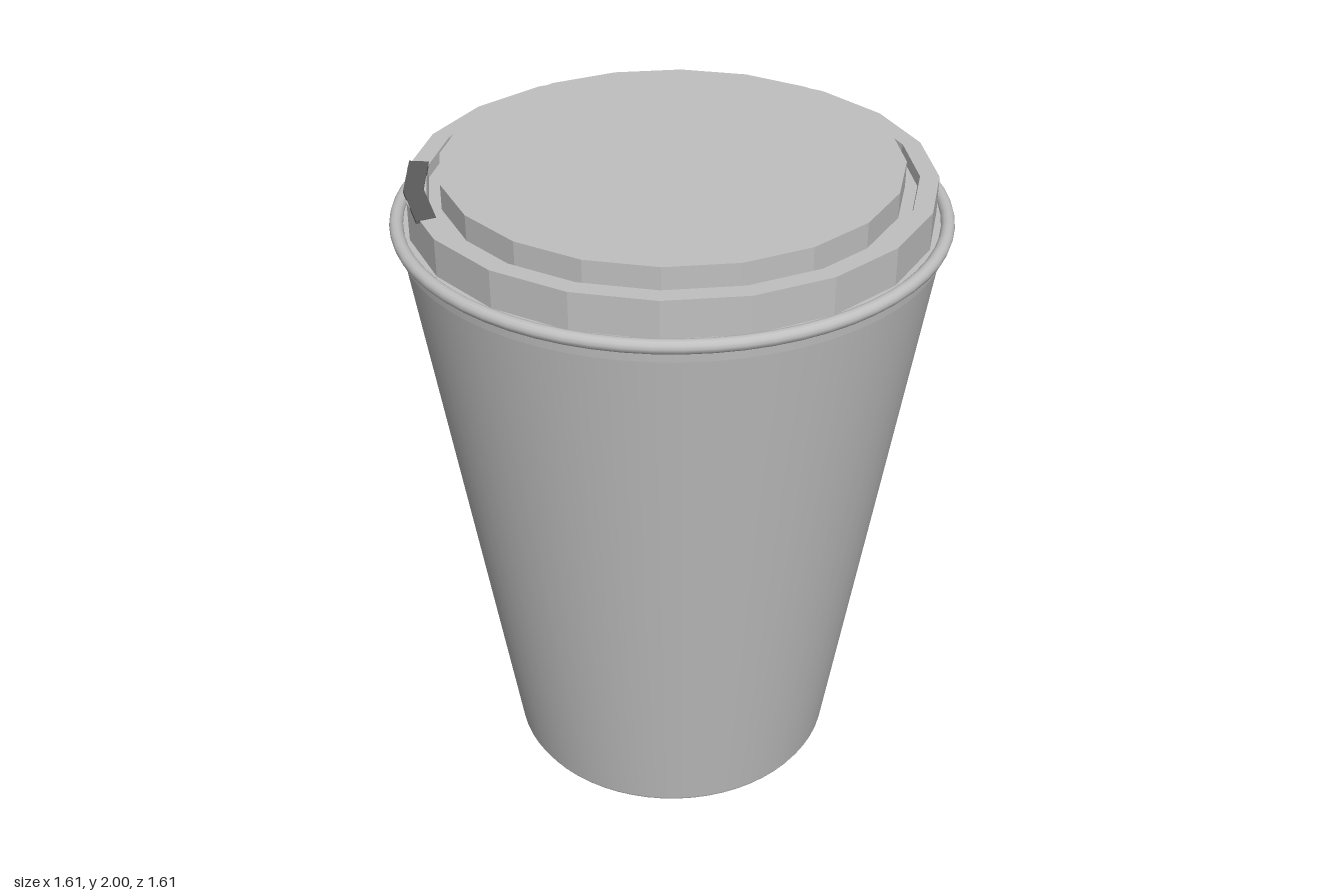
import * as THREE from 'three';

const paper = new THREE.MeshStandardMaterial({ color: 0xc0c0c0 });
paper.name = 'light grey';
const dark = new THREE.MeshStandardMaterial({ color: 0x5c5c5c });
dark.name = 'dark grey';

// Surface of revolution; flat gives a faceted look
function turned(name, profile, segments, flat = false) {
  let geo = new THREE.LatheGeometry(profile.map(([r, y]) => new THREE.Vector2(r, y)), segments);
  if (flat) {
    geo = geo.toNonIndexed();
    geo.computeVertexNormals();
  }
  const mesh = new THREE.Mesh(geo, paper);
  mesh.name = name;
  return mesh;
}

export function createModel() {
  const model = new THREE.Group();
  model.name = 'lidded cup';

  // Tapered cup body with a recessed base
  const cup = new THREE.Group();
  cup.name = 'cup';
  cup.add(
    turned('cupWall', [[0.505, 0], [0.512, 0.012], [0.777, 1.8]], 64),
    turned('footRing', [[0.46, 0], [0.505, 0]], 64),
    turned('recessWall', [[0.452, 0.03], [0.46, 0]], 64),
    turned('cupBase', [[0, 0.03], [0.452, 0.03]], 64)
  );
  model.add(cup);

  const lid = new THREE.Group();
  lid.name = 'lid';

  // Short collar and rolled bead around the mouth
  lid.add(
    turned('collarUnderside', [[0.77, 1.797], [0.786, 1.797]], 64),
    turned('collar', [[0.786, 1.797], [0.789, 1.835]], 64)
  );
  const bead = new THREE.Mesh(new THREE.TorusGeometry(0.785, 0.02, 12, 64), paper);
  bead.name = 'rolledBead';
  bead.rotation.x = Math.PI / 2;
  bead.position.y = 1.843;
  lid.add(bead);
  lid.add(turned('beadShelf', [[0.785, 1.845], [0.74, 1.845]], 64));

  // Faceted raised rim, groove and top disc
  lid.add(turned('lidTop', [
    [0.755, 1.845], [0.755, 1.956], [0.7, 1.956], [0.695, 1.925],
    [0.66, 1.925], [0.66, 2], [0, 2]
  ], 20, true));

  // Drinking slot: thin two-segment arc set on the rim
  const arcPoint = (r, deg) => {
    const a = THREE.MathUtils.degToRad(deg);
    return new THREE.Vector2(-r * Math.cos(a), -r * Math.sin(a));
  };
  const angles = [15, 30, 45];
  const outline = [
    ...angles.map(d => arcPoint(0.757, d)),
    ...angles.slice().reverse().map(d => arcPoint(0.7, d))
  ];
  const slotGeo = new THREE.ExtrudeGeometry(new THREE.Shape(outline), { depth: 0.009, bevelEnabled: false });
  slotGeo.rotateX(-Math.PI / 2);
  const slot = new THREE.Mesh(slotGeo, dark);
  slot.name = 'drinkingSlot';
  slot.position.y = 1.949;
  lid.add(slot);

  model.add(lid);
  return model;
}
